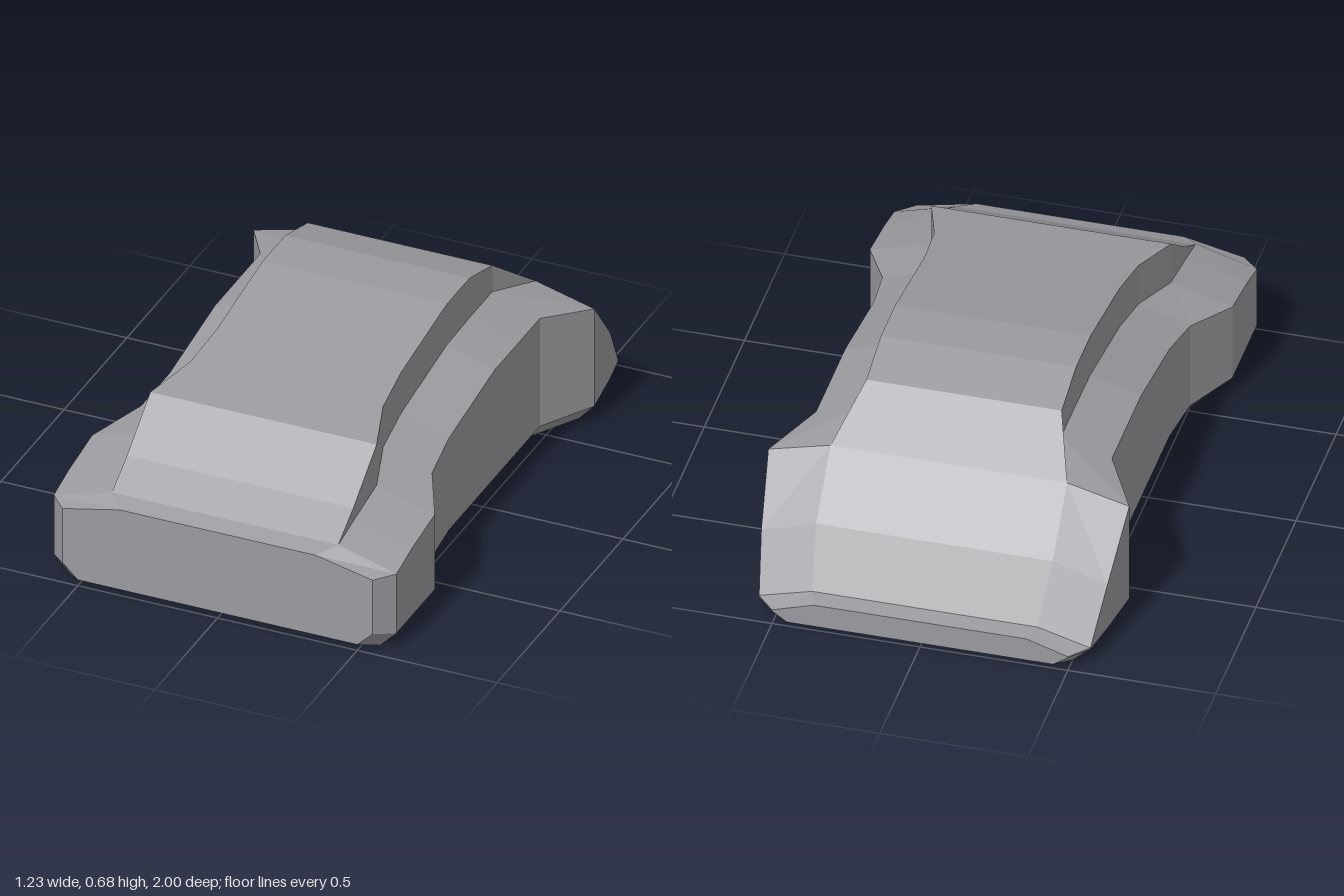
import * as THREE from 'three';

// Cross-sections from back to front:
// [z, bottom half-width, bottom y, side half-width, side low y, side high y, cabin half-width, ledge y, roof y]
const SECTIONS = [
  [-1.0, 0.45, 0.015, 0.50, 0.05, 0.055, 0.36, 0.10, 0.10],
  [-0.94, 0.50, 0, 0.56, 0.055, 0.06, 0.38, 0.11, 0.11],
  [-0.82, 0.53, 0, 0.585, 0.06, 0.235, 0.40, 0.295, 0.295],
  [-0.64, 0.555, 0, 0.61, 0.06, 0.43, 0.40, 0.485, 0.485],
  [-0.45, 0.445, 0, 0.50, 0.06, 0.47, 0.33, 0.53, 0.63],
  [-0.27, 0.445, 0, 0.50, 0.06, 0.47, 0.33, 0.53, 0.68],
  [-0.09, 0.445, 0, 0.50, 0.06, 0.47, 0.33, 0.525, 0.68],
  [0.27, 0.445, 0, 0.50, 0.06, 0.41, 0.33, 0.465, 0.62],
  [0.45, 0.465, 0, 0.52, 0.06, 0.38, 0.345, 0.435, 0.59],
  [0.635, 0.555, 0, 0.613, 0.06, 0.345, 0.405, 0.405, 0.56],
  [0.82, 0.555, 0, 0.613, 0.06, 0.315, 0.405, 0.37, 0.42],
  [0.94, 0.555, 0, 0.613, 0.06, 0.285, 0.405, 0.345, 0.345],
  [1.0, 0.50, 0.022, 0.555, 0.075, 0.28, 0.35, 0.325, 0.325],
];

// Closed ring: up the left side, then mirrored down the right side
function ring([z, bx, by, sx, lowY, highY, cx, ledgeY, roofY]) {
  const half = [[bx, by], [sx, lowY], [sx, highY], [cx, ledgeY], [cx, roofY]];
  const mirrored = half.map(([x, y]) => [-x, y]).reverse();
  return [...half, ...mirrored].map(([x, y]) => new THREE.Vector3(x, y, z));
}

function loft(rings) {
  const positions = [];
  const triangle = (a, b, c) => {
    const area = b.clone().sub(a).cross(c.clone().sub(a)).length();
    if (area > 1e-7) for (const p of [a, b, c]) positions.push(p.x, p.y, p.z);
  };
  // Skin between neighbouring rings
  const n = rings[0].length;
  for (let s = 0; s < rings.length - 1; s++) {
    for (let i = 0; i < n; i++) {
      const j = (i + 1) % n;
      const a = rings[s][i], b = rings[s][j];
      const c = rings[s + 1][j], d = rings[s + 1][i];
      // Mirror the quad diagonals so both sides match
      if (i < n / 2) {
        triangle(a, b, c);
        triangle(a, c, d);
      } else {
        triangle(a, b, d);
        triangle(b, c, d);
      }
    }
  }
  // End caps
  const back = rings[0], front = rings[rings.length - 1];
  for (let i = 1; i < n - 1; i++) {
    triangle(back[0], back[i + 1], back[i]);
    triangle(front[0], front[i], front[i + 1]);
  }
  const geometry = new THREE.BufferGeometry();
  geometry.setAttribute('position', new THREE.Float32BufferAttribute(positions, 3));
  geometry.computeVertexNormals();
  return geometry;
}

export function createModel() {
  const model = new THREE.Group();
  model.name = 'vehicleBody';
  const material = new THREE.MeshStandardMaterial({ color: 0x9b9a9f, flatShading: true });
  const body = new THREE.Mesh(loft(SECTIONS.map(ring)), material);
  body.name = 'bodyShell';
  model.add(body);
  return model;
}
